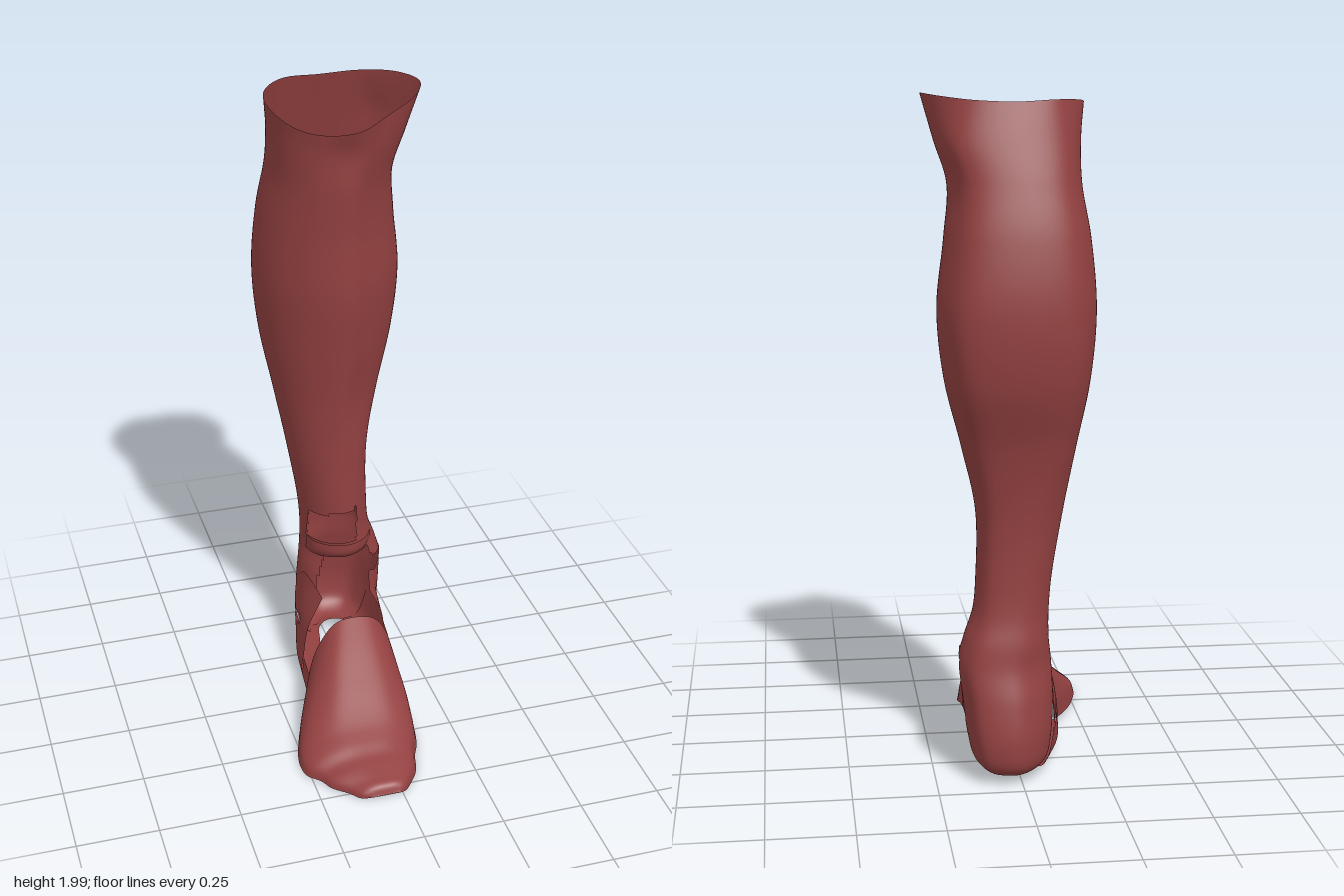
import * as THREE from 'three';
import { mergeVertices } from 'three/addons/utils/BufferGeometryUtils.js';

const material = new THREE.MeshStandardMaterial({ color: 0x944141, side: THREE.DoubleSide });
const V = (x, y, z) => new THREE.Vector3(x, y, z);
const toRows = rows => rows.map(r => r.map(p => V(...p)));

// Smooth surface through rows of points; faces whose centre meets skip() are left open
function sheet(name, rows, nU, nV, { closed = false, skip = () => false } = {}) {
  const curves = rows.map(r => new THREE.CatmullRomCurve3(r, closed));
  const grid = [];
  for (let i = 0; i <= nU; i++) {
    const column = new THREE.CatmullRomCurve3(curves.map(c => c.getPoint(i / nU)));
    grid.push(column.getPoints(nV));
  }
  const pos = [], index = [];
  grid.forEach(col => col.forEach(p => pos.push(p.x, p.y, p.z)));
  const id = (i, j) => i * (nV + 1) + j;
  for (let i = 0; i < nU; i++) {
    for (let j = 0; j < nV; j++) {
      const centre = grid[i][j].clone().add(grid[i + 1][j + 1]).multiplyScalar(0.5);
      if (skip(centre)) continue;
      const a = id(i, j), b = id(i + 1, j), c = id(i + 1, j + 1), d = id(i, j + 1);
      index.push(a, b, c, a, c, d);
    }
  }
  let geo = new THREE.BufferGeometry();
  geo.setAttribute('position', new THREE.Float32BufferAttribute(pos, 3));
  geo.setIndex(index);
  geo = mergeVertices(geo, 1e-5);
  geo.computeVertexNormals();
  const mesh = new THREE.Mesh(geo, material);
  mesh.name = name;
  return mesh;
}

// Horizontal loop of the leg: full at the back of the calf, flatter on the inner shin
function legLoop([y, x0, x1, zBack, zFront]) {
  const cx = (x0 + x1) / 2, rx = (x1 - x0) / 2;
  const cz = zBack + 0.46 * (zFront - zBack);
  const calf = y > 0.9;
  return Array.from({ length: 12 }, (_, i) => {
    const a = i / 12 * Math.PI * 2, c = Math.cos(a), s = Math.sin(a);
    const front = c > 0 && calf ? 1.75 : 1;
    const back = c > 0 ? 0.5 : calf ? 0.58 : y > 0.4 ? 0.95 : 1.25;
    const x = Math.sign(c) * Math.pow(Math.abs(c), s < 0 ? back : front);
    return V(cx + rx * x, y, cz + s * (s > 0 ? zFront - cz : cz - zBack));
  });
}

function createLeg() {
  // uneven open rim below the knee
  const rim = [
    [.27, 2, -.23], [.23, 1.99, -.14], [.12, 1.965, -.06], [.02, 1.945, 0],
    [-.07, 1.93, -.04], [-.14, 1.935, -.11], [-.19, 1.965, -.22], [-.18, 1.98, -.32],
    [-.1, 1.985, -.41], [.02, 1.98, -.43], [.14, 1.985, -.42], [.23, 1.995, -.35],
  ];
  // y, x min, x max, z back, z front
  const loops = [
    [1.87, -.182, .235, -.462, -.025],
    [1.75, -.182, .2, -.495, -.034],
    [1.6, -.205, .212, -.53, -.05],
    [1.4, -.22, .234, -.55, -.06],
    [1.2, -.205, .215, -.528, -.09],
    [1.0, -.17, .165, -.462, -.122],
    [.8, -.135, .122, -.425, -.142],
    [.6, -.102, .122, -.415, -.155],
    [.5, -.093, .132, -.42, -.165],
    [.42, -.092, .16, -.435, -.17],
    [.35, -.1, .176, -.445, -.15],
    [.25, -.105, .165, -.47, -.13],
    [.13, -.1, .15, -.485, -.13],
    [.06, -.085, .13, -.472, -.15],
    [.03, -.05, .09, -.43, -.2],
    [.035, -.03, .08, -.385, -.22],
  ];
  // shin window, open instep and open front of the heel
  const skip = p =>
    (p.y < .6 + .15 * p.x && p.y > .48 && p.z > -.27 && p.x > -.085 && p.x < .06) ||
    (p.y < .44 && p.z > -.2) ||
    (p.y < (p.x > .03 ? .36 + .25 * (p.z + .335) : .25) && p.z > -.335);
  return sheet('shinCalfAndHeel', [...toRows([rim]), ...loops.map(legLoop)], 96, 180, { closed: true, skip });
}

// z, x left edge, x right edge, top y, base y at each edge
const footSections = [
  [.548, -.09, -.01, .019, .018, .018],
  [.535, -.13, .012, .045, .012, .012],
  [.5, -.16, .04, .056, .01, .01],
  [.46, -.205, .066, .066, .01, .008],
  [.42, -.226, .08, .076, .01, .008],
  [.38, -.262, .09, .094, .01, .008],
  [.32, -.27, .115, .12, .012, .01],
  [.2, -.24, .13, .19, .012, .04],
  [.1, -.2, .13, .25, .02, .068],
  [.005, -.158, .13, .305, .035, .085],
];

function createFootTop() {
  const profile = [[0, 0], [.03, .34], [.14, .68], [.33, .95], [.54, 1], [.78, .93], [.95, .58], [1, 0]];
  const rows = footSections.map(([z, x0, x1, top, yl, yr]) => profile.map(([u, h]) => {
    const base = yl + (yr - yl) * u;
    return V(x0 + (x1 - x0) * u, base + (top - base) * h, z);
  }));
  return sheet('footTop', rows, 40, 60);
}

// Sole under the ball of the foot and the toes
function createSole() {
  const rows = footSections.slice(0, 8).reverse().map(([z, x0, x1, , yl, yr]) =>
    [0, .25, .5, .75, 1].map(u => V(x0 + (x1 - x0) * u, yl + (yr - yl) * u, z)));
  return sheet('forefootSole', rows, 16, 40);
}

// Side walls between heel and foot; each row runs from the inner sole edge up the side
function createSides() {
  const left = [
    [[.07, .04, -.37], [.115, .05, -.37], [.152, .16, -.36], [.166, .27, -.35], [.172, .37, -.33]],
    [[.085, .05, -.29], [.125, .065, -.29], [.148, .15, -.28], [.162, .25, -.27], [.166, .38, -.26]],
    [[.085, .065, -.21], [.125, .08, -.21], [.14, .15, -.21], [.142, .24, -.21], [.135, .335, -.21]],
    [[.088, .075, -.15], [.128, .088, -.15], [.135, .15, -.15], [.13, .25, -.15], [.1, .36, -.16]],
    [[.09, .08, -.09], [.13, .09, -.09], [.132, .15, -.09], [.123, .24, -.09], [.08, .335, -.085]],
  ];
  const right = [
    [[-.02, .035, -.37], [-.07, .035, -.37], [-.1, .12, -.36], [-.106, .18, -.345], [-.105, .25, -.33]],
    [[-.035, .035, -.29], [-.1, .035, -.29], [-.122, .13, -.28], [-.118, .22, -.27], [-.1, .34, -.25]],
    [[-.055, .035, -.2], [-.13, .036, -.2], [-.138, .13, -.2], [-.126, .23, -.2], [-.095, .35, -.19]],
    [[-.08, .035, -.09], [-.146, .036, -.09], [-.143, .13, -.09], [-.126, .23, -.09], [-.08, .335, -.085]],
  ];
  // low strips linking the walls to the foot
  const leftLink = [
    [[.09, .08, -.09], [.13, .09, -.09], [.132, .15, -.09], [.127, .21, -.09]],
    [[.092, .075, .005], [.13, .085, .005], [.128, .15, .005], [.115, .215, .005]],
  ];
  const rightLink = [
    [[-.08, .035, -.09], [-.147, .036, -.09], [-.147, .08, -.09], [-.144, .11, -.09]],
    [[-.092, .035, .005], [-.157, .036, .005], [-.156, .08, .005], [-.152, .11, .005]],
  ];
  // slanted slit in the outer wall
  const slit = p => p.z > -.34 && p.z < -.18 && Math.abs(p.y - .2 - .37 * (p.z + .18)) < .015;
  return [
    sheet('leftAnkleWall', toRows(left), 20, 24),
    sheet('rightAnkleWall', toRows(right).reverse(), 60, 50, { skip: slit }),
    sheet('leftArchLink', toRows(leftLink), 12, 4),
    sheet('rightArchLink', toRows(rightLink).reverse(), 12, 4),
  ];
}

// Raised strip across the front of the ankle
function createAnkleBand() {
  const arc = [[-.09, -.24], [-.075, -.19], [-.03, -.15], [.03, -.138], [.085, -.165], [.12, -.215]];
  const rows = [[.43, -.025], [.455, -.005], [.49, 0]].map(([y, dz]) =>
    arc.map(([x, z]) => V(x, y, z + dz)));
  return sheet('ankleBand', rows, 30, 6);
}

export function createModel() {
  const group = new THREE.Group();
  group.name = 'lowerLeg';
  group.add(createLeg(), createFootTop(), createSole(), ...createSides(), createAnkleBand());
  return group;
}
